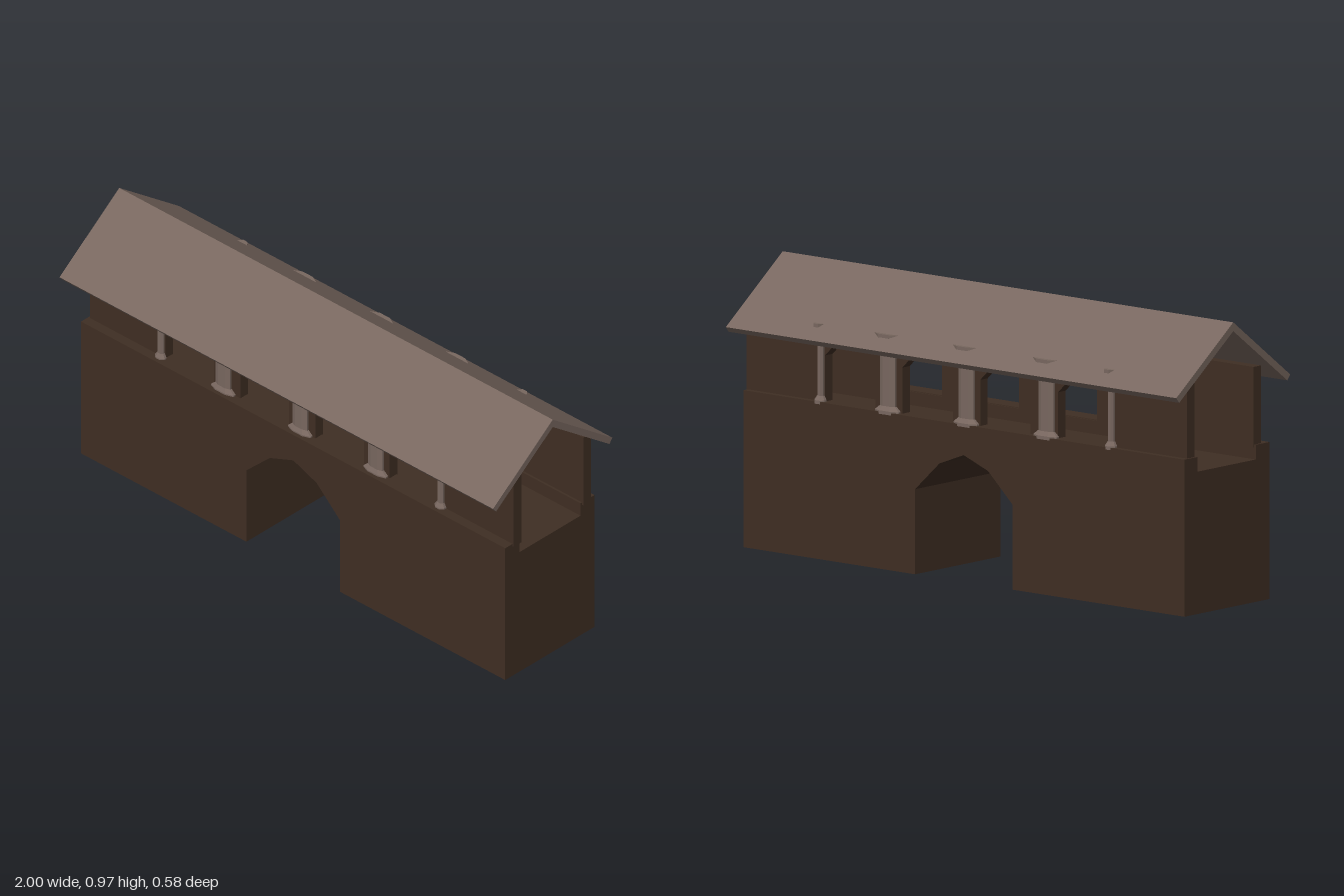
import * as THREE from 'three';

const timber = new THREE.MeshStandardMaterial({ color: 0x3f2e23 });
timber.name = 'dark brown';
const stone = new THREE.MeshStandardMaterial({ color: 0x78675f });
stone.name = 'grey brown';

function add(parent, name, geometry, material) {
  const mesh = new THREE.Mesh(geometry, material);
  mesh.name = name;
  parent.add(mesh);
  return mesh;
}

// Box given by its limits on each axis
function boxBetween(x0, x1, y0, y1, z0, z1) {
  return new THREE.BoxGeometry(x1 - x0, y1 - y0, z1 - z0)
    .translate((x0 + x1) / 2, (y0 + y1) / 2, (z0 + z1) / 2);
}

// Faceted arch outline, from the right foot over the top to the left foot
function archPoints(cx, half, foot, spring, rise) {
  return [[1, 0], [0.5, 0.71], [0, 1], [-0.5, 0.71], [-1, 0]]
    .map(([u, v]) => new THREE.Vector2(cx + u * half, spring + v * rise))
    .concat(new THREE.Vector2(cx - half, foot))
    .reduce((list, p) => (list.push(p), list), [new THREE.Vector2(cx + half, foot)]);
}

function extrude(shape, depth, z) {
  return new THREE.ExtrudeGeometry(shape, { depth, bevelEnabled: false }).translate(0, 0, z);
}

// Faceted half column with a flared foot and head, standing out along +z
function halfColumn(shaftW, flareW, shaftD, footD, headD) {
  const levels = [
    [0.528, flareW, footD], [0.54, flareW, footD], [0.555, shaftW, shaftD],
    [0.768, shaftW, shaftD], [0.79, flareW, headD], [0.802, flareW, headD],
  ];
  const outline = [[-1, 0], [-1, 0.5], [-0.45, 1], [0.45, 1], [1, 0.5], [1, 0]];
  const rings = levels.map(([y, w, d]) => outline.map(([u, v]) => [u * w, y, v * d]));
  const pos = [];
  const tri = (...pts) => pts.forEach((p) => pos.push(...p));
  for (let r = 0; r < rings.length - 1; r++) {
    const lo = rings[r], hi = rings[r + 1];
    for (let i = 0; i < outline.length; i++) {
      const j = (i + 1) % outline.length;
      tri(lo[i], lo[j], hi[j]);
      tri(lo[i], hi[j], hi[i]);
    }
  }
  const top = rings[rings.length - 1], bottom = rings[0];
  for (let i = 1; i < outline.length - 1; i++) {
    tri(top[0], top[i], top[i + 1]);
    tri(bottom[0], bottom[i + 1], bottom[i]);
  }
  const geometry = new THREE.BufferGeometry();
  geometry.setAttribute('position', new THREE.Float32BufferAttribute(pos, 3));
  geometry.computeVertexNormals();
  return geometry;
}

export function createModel() {
  const model = new THREE.Group();
  model.name = 'coveredBridge';
  const x0 = -0.987, x1 = 0.97;

  // Bridge body with the passage arch
  const body = new THREE.Shape([
    new THREE.Vector2(x0, 0.485), new THREE.Vector2(x0, 0),
    ...archPoints(-0.008, 0.216, 0, 0.29, 0.142).reverse(),
    new THREE.Vector2(x1, 0), new THREE.Vector2(x1, 0.485),
  ]);
  add(model, 'bridgeBody', extrude(body, 0.435, -0.235), timber);

  // Raised kerbs on both sides of the walkway
  add(model, 'frontKerb', boxBetween(x0, x1, 0.485, 0.535, 0.13, 0.2), timber);
  add(model, 'backKerb', boxBetween(x0, x1, 0.485, 0.535, -0.235, -0.167), timber);

  // Arcade walls with four arched openings
  const wall = new THREE.Shape([
    new THREE.Vector2(-0.98, 0.525), new THREE.Vector2(0.975, 0.525),
    new THREE.Vector2(0.975, 0.8), new THREE.Vector2(-0.98, 0.8),
  ]);
  for (const cx of [-0.52, -0.174, 0.172, 0.515]) {
    wall.holes.push(new THREE.Path(archPoints(cx, 0.112, 0.532, 0.692, 0.076)));
  }
  add(model, 'frontArcade', extrude(wall, 0.038, 0.126), timber);
  add(model, 'backArcade', extrude(wall, 0.038, -0.213), timber);

  // Half columns between the openings, slimmer at the ends
  const columns = new THREE.Group();
  columns.name = 'columns';
  model.add(columns);
  for (const x of [-0.648, -0.36, -0.005, 0.343, 0.642]) {
    const [shaft, flare] = Math.abs(x) > 0.5 ? [0.013, 0.022] : [0.034, 0.052];
    const front = add(columns, 'frontColumn', halfColumn(shaft, flare, 0.014, 0.021, 0.026), stone);
    front.position.set(x, 0, 0.164);
    const back = add(columns, 'backColumn', halfColumn(shaft, flare, 0.015, 0.024, 0.03), stone);
    back.position.set(x, 0, -0.213);
    back.rotation.y = Math.PI;
  }

  // Gabled roof
  const gable = new THREE.Shape([
    [0, 0.972], [-0.291, 0.754], [-0.276, 0.736], [0, 0.942], [0.276, 0.736], [0.291, 0.754],
  ].map(([x, y]) => new THREE.Vector2(x, y)));
  add(model, 'roof', extrude(gable, 2, -1).rotateY(Math.PI / 2), stone);

  return model;
}
